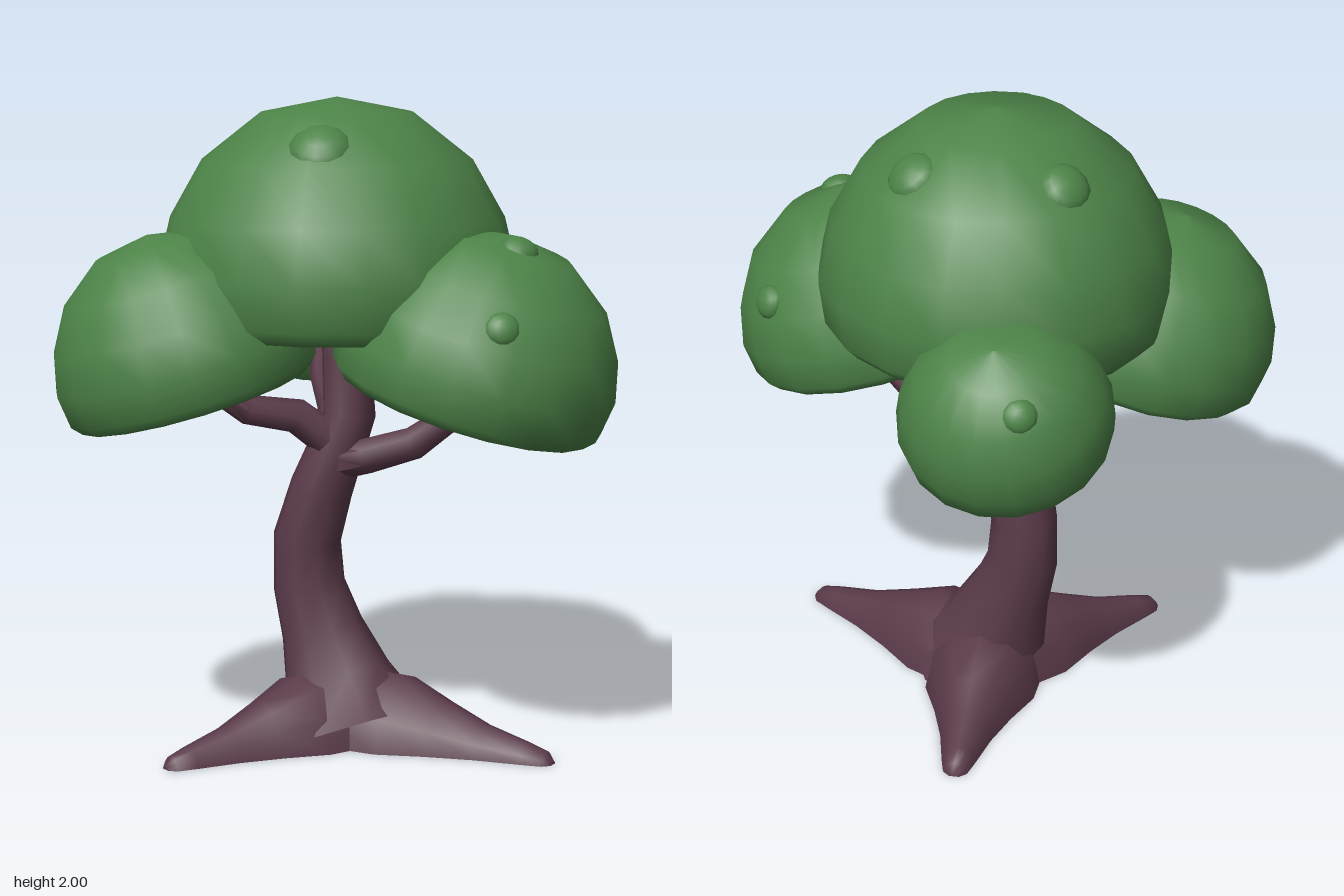
import * as THREE from 'three';
import { toCreasedNormals } from 'three/addons/utils/BufferGeometryUtils.js';

const V = (x, y, z) => new THREE.Vector3(x, y, z);
const UP = V(0, 1, 0);
const GROUND = 0.005;

// Tapered limb through stations [x, y, z, halfWidth, halfHeight]; cut off and left open at the ground
function limb(stations, sides, ref) {
  const pos = [], idx = [], n = stations.length;
  const centres = stations.map(s => V(s[0], s[1], s[2]));
  stations.forEach((s, i) => {
    const t = centres[Math.min(i + 1, n - 1)].clone().sub(centres[Math.max(i - 1, 0)]).normalize();
    const side = ref.clone().cross(t).normalize();
    const rise = t.clone().cross(side);
    for (let j = 0; j < sides; j++) {
      const a = (j / sides) * Math.PI * 2;
      const p = centres[i].clone()
        .addScaledVector(side, Math.cos(a) * s[3])
        .addScaledVector(rise, Math.sin(a) * (s[4] ?? s[3]));
      pos.push(p.x, Math.max(p.y, GROUND), p.z);
    }
  });
  const face = (...tri) => {
    if (tri.some(v => pos[v * 3 + 1] > GROUND)) idx.push(...tri);
  };
  for (let i = 0; i < n - 1; i++) {
    for (let j = 0; j < sides; j++) {
      const k = (j + 1) % sides, a = i * sides, b = a + sides;
      face(a + j, a + k, b + k);
      face(a + j, b + k, b + j);
    }
  }
  // cap at the tip
  const last = (n - 1) * sides;
  for (let j = 1; j < sides - 1; j++) face(last, last + j, last + j + 1);
  const g = new THREE.BufferGeometry();
  g.setAttribute('position', new THREE.Float32BufferAttribute(pos, 3));
  g.setIndex(idx);
  return toCreasedNormals(g, 1.0);
}

// Hollow mushroom-like dome: inner vault, rim, then outer shell (unit radius and height)
const DOME = [[0, 0.36], [0.45, 0.3], [0.76, 0.12], [0.9, 0], [0.97, 0.06], [1, 0.25],
  [0.93, 0.48], [0.75, 0.73], [0.42, 0.935], [0, 1]];

function dome(radius, height) {
  const pts = DOME.map(([r, y]) => new THREE.Vector2(r * radius, y * height));
  return new THREE.LatheGeometry(pts, 18);
}

export function createModel() {
  const tree = new THREE.Group();
  tree.name = 'tree';
  const leaf = new THREE.MeshStandardMaterial({ color: 0x4c8247 });
  leaf.name = 'leaf green';
  const bark = new THREE.MeshStandardMaterial({ color: 0x5a3a49, side: THREE.DoubleSide });
  bark.name = 'bark brown';

  const add = (name, geometry, material) => {
    const mesh = new THREE.Mesh(geometry, material);
    mesh.name = name;
    tree.add(mesh);
    return mesh;
  };

  // Curved trunk with a flared foot
  add('trunk', limb([
    [0.02, 0.02, 0.1, 0.25], [-0.04, 0.18, 0.055, 0.172], [-0.09, 0.33, 0.045, 0.132],
    [-0.133, 0.47, 0.037, 0.115], [-0.138, 0.62, 0.035, 0.108], [-0.09, 0.78, 0.045, 0.1],
    [-0.04, 0.91, 0.05, 0.09], [0, 1.02, 0.045, 0.083], [-0.01, 1.2, 0.04, 0.077],
    [-0.03, 1.33, 0.04, 0.06], [-0.03, 1.42, 0.04, 0.05],
  ], 9, V(0, 0, 1)), bark);

  // Branches reaching into the side domes
  const branches = {
    leftBranch: [[-0.03, 0.87, 0.06, 0.075, 0.055], [0.07, 0.9, 0.085, 0.068, 0.056],
      [0.22, 0.95, 0.11, 0.052], [0.38, 1.07, 0.14, 0.04], [0.43, 1.2, 0.15, 0.032]],
    rightBranch: [[-0.02, 0.91, 0.06, 0.06], [-0.15, 1.02, 0.12, 0.056], [-0.29, 1.045, 0.18, 0.048],
      [-0.38, 1.11, 0.23, 0.036], [-0.42, 1.22, 0.26, 0.028]],
    backBranch: [[-0.05, 0.88, 0.03, 0.055], [-0.09, 1.01, -0.13, 0.05], [-0.16, 1.08, -0.29, 0.04],
      [-0.2, 1.2, -0.4, 0.027]],
  };
  for (const [name, path] of Object.entries(branches)) add(name, limb(path, 7, UP), bark);

  // Spreading roots: [name, tip x, tip z]
  const rootShape = [[0, 0.19, 0.22], [0.28, 0.18, 0.215], [0.48, 0.125, 0.155], [0.68, 0.082, 0.098],
    [0.88, 0.053, 0.062], [0.97, 0.038, 0.042], [1, 0.016, 0.016]];
  for (const [name, x, z] of [['leftRoot', 0.68, 0.28], ['rightRoot', -0.455, 0.57], ['backRoot', -0.09, -0.565]]) {
    const path = rootShape.map(([t, w, h]) => [
      THREE.MathUtils.lerp(-0.01, x, t), 0, THREE.MathUtils.lerp(0.06, z, t), w, h]);
    add(name, limb(path, 12, UP), bark);
  }

  // Foliage domes: name, rim centre, axis, radius, height
  const domes = [
    ['topFoliage', V(-0.035, 1.3, 0.06), V(0, 1, 0), 0.552, 0.7],
    ['leftFoliage', V(0.385, 1.09, 0.2), V(0.29, 0.957, 0.02), 0.435, 0.535],
    ['rightFoliage', V(-0.425, 1.1, 0.3), V(-0.26, 0.95, 0.08), 0.403, 0.515],
    ['backFoliage', V(-0.2, 1.145, -0.355), V(-0.02, 0.89, -0.45), 0.325, 0.415],
  ];
  for (const [name, centre, axis, radius, height] of domes) {
    const mesh = add(name, dome(radius, height), leaf);
    mesh.position.copy(centre);
    mesh.quaternion.setFromUnitVectors(UP, axis.normalize());
  }

  // Rounded leaf knobs: dome index, position, radius
  const knobs = [
    [0, V(-0.02, 1.85, 0.365), 0.1], [0, V(0.14, 1.855, -0.2), 0.085], [0, V(-0.295, 1.85, -0.135), 0.083],
    [1, V(0.56, 1.565, 0.285), 0.06], [1, V(0.55, 1.365, 0.545), 0.054], [1, V(0.645, 1.335, -0.115), 0.054],
    [3, V(-0.315, 1.37, -0.635), 0.054],
  ];
  for (const [d, p, r] of knobs) {
    const [, centre, axis, , height] = domes[d];
    const out = p.clone().sub(centre.clone().addScaledVector(axis, height * 0.25)).normalize();
    const mesh = add('leafKnob', new THREE.SphereGeometry(r, 12, 8), leaf);
    mesh.position.copy(p);
    mesh.quaternion.setFromUnitVectors(UP, out);
    mesh.scale.y = 0.65;
  }
  return tree;
}
